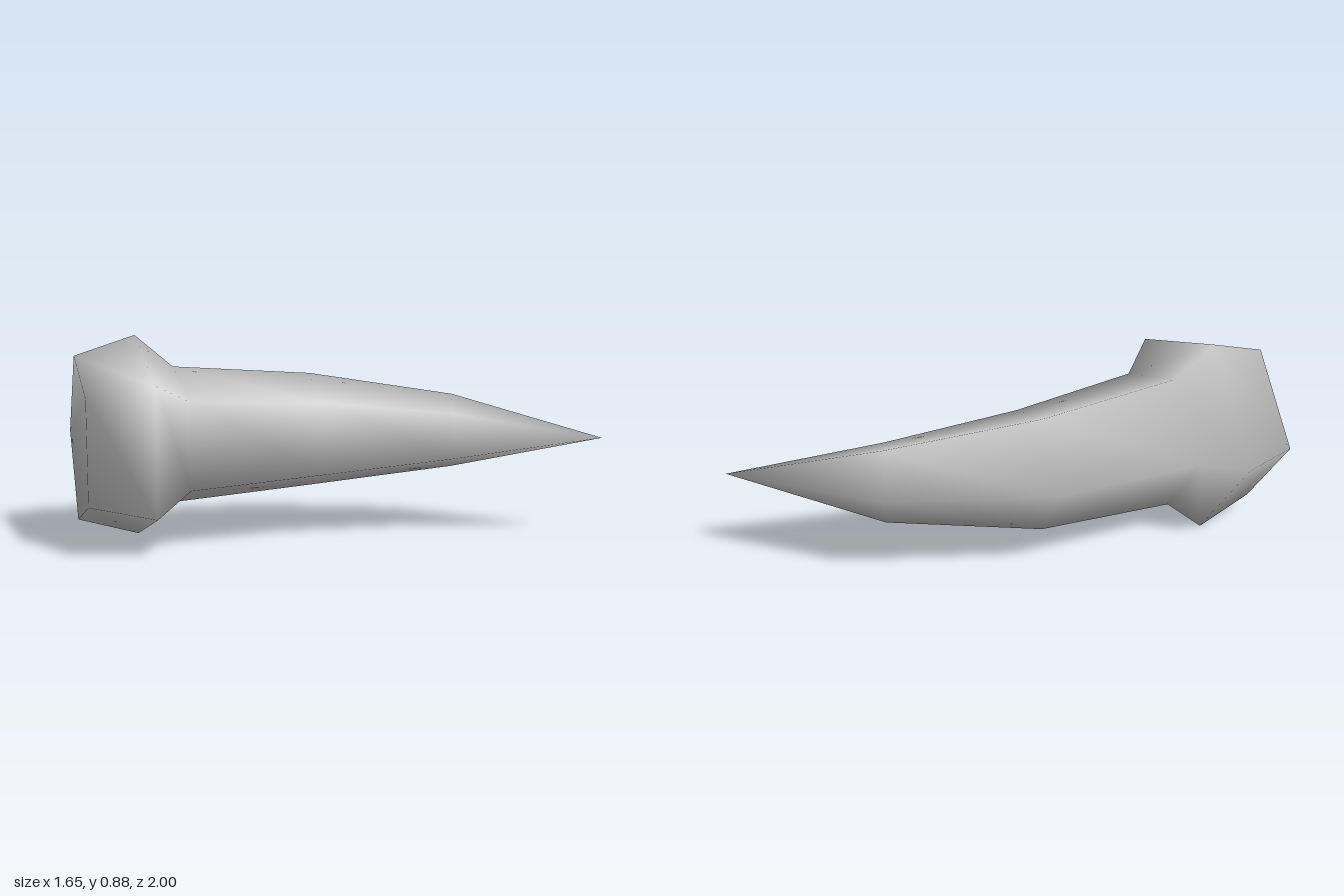
import * as THREE from 'three';

const SIDES = 5;
const MID = 0.442; // height of the horn's centre plane

// Cross-sections from root to point: [inner x, inner z, outer x, outer z]
const SECTIONS = [
  [-0.83, -0.45, -0.43, -1.0],
  [-0.66, -0.23, -0.17, -0.91],
  [-0.45, -0.24, -0.12, -0.71],
  [0.05, 0.06, 0.38, -0.30],
  [0.46, 0.46, 0.73, 0.30],
];
const TIP = [0.825, MID, 1.0];

function hornGeometry() {
  const points = [];
  const faces = [];

  // Regular pentagons: one corner on the outer curve, a flat edge on the inner
  for (const [ix, iz, ox, oz] of SECTIONS) {
    const width = Math.hypot(ox - ix, oz - iz);
    const ux = (ox - ix) / width;
    const uz = (oz - iz) / width;
    const r = width / (1 + Math.cos(Math.PI / SIDES));
    for (let k = 0; k < SIDES; k++) {
      const a = (k / SIDES) * Math.PI * 2;
      const along = r * (Math.cos(a) - 1);
      points.push(ox + ux * along, MID + r * Math.sin(a), oz + uz * along);
    }
  }
  points.push(...TIP);

  // Side walls, closing to the point after the last section
  const last = SECTIONS.length - 1;
  const tip = SECTIONS.length * SIDES;
  for (let i = 0; i <= last; i++) {
    for (let k = 0; k < SIDES; k++) {
      const a = i * SIDES + k;
      const b = i * SIDES + ((k + 1) % SIDES);
      if (i === last) faces.push(a, b, tip);
      else faces.push(a, b, b + SIDES, a, b + SIDES, a + SIDES);
    }
  }

  // Flat root cap
  for (let k = 1; k < SIDES - 1; k++) faces.push(0, k + 1, k);

  const geometry = new THREE.BufferGeometry();
  geometry.setAttribute('position', new THREE.Float32BufferAttribute(points, 3));
  geometry.setIndex(faces);
  geometry.computeVertexNormals();
  return geometry;
}

export function createModel() {
  const group = new THREE.Group();
  group.name = 'curvedHorn';

  const grey = new THREE.MeshStandardMaterial({ color: 0xbfbfbf });
  grey.name = 'grey';

  const horn = new THREE.Mesh(hornGeometry(), grey);
  horn.name = 'horn';
  group.add(horn);
  return group;
}
